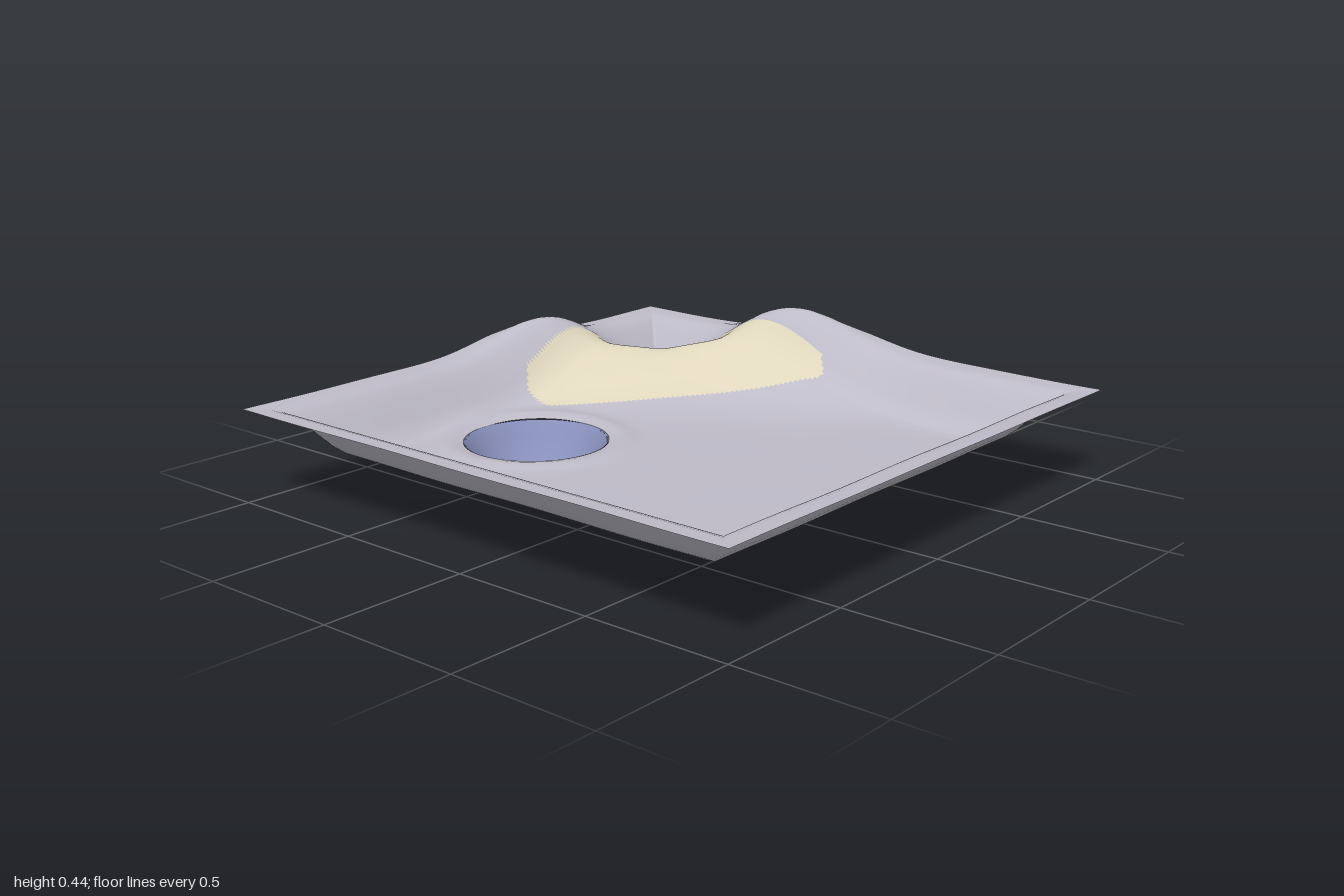
import * as THREE from 'three';

const N = 160, STEP = 2 / N;
const BOWL = { x: -0.22, z: -0.45, r: 0.245 };

const ground = new THREE.MeshStandardMaterial({ name: 'greyLavender', color: 0xbebbc8, side: THREE.DoubleSide });
const sand = new THREE.MeshStandardMaterial({ name: 'paleSand', color: 0xdfd6bd, side: THREE.DoubleSide });
const blue = new THREE.MeshStandardMaterial({ name: 'dustyBlue', color: 0x878eb9, side: THREE.DoubleSide });

// Piecewise linear lookup
function profile(points, t) {
  if (t <= points[0][0]) return points[0][1];
  for (let i = 1; i < points.length; i++) {
    const [t0, v0] = points[i - 1], [t1, v1] = points[i];
    if (t <= t1) return v0 + (v1 - v0) * (t - t0) / (t1 - t0);
  }
  return points[points.length - 1][1];
}

// Tray wall from floor to rim, and ridge strength, by distance from the middle
const WALL = [[0.7, 0.138], [0.74, 0.142], [0.77, 0.156], [0.8, 0.183], [0.83, 0.22], [0.86, 0.257],
  [0.89, 0.289], [0.91, 0.304], [0.935, 0.312], [1, 0.316]];
const RIDGE = [[0.5, 0.128], [0.6, 0.138], [0.7, 0.158], [0.77, 0.17], [0.82, 0.167], [0.87, 0.14],
  [0.91, 0.11], [0.95, 0.082], [1, 0.052]];

function height(x, z) {
  const m = Math.max(Math.abs(x), Math.abs(z));
  let y = profile(WALL, m);
  // Diagonal ridge across the back corner: broad foot inside, steeper to the corner pocket
  const dx = 0.63, dz = 0.72, len = Math.hypot(dx, dz);
  const across = ((x - 0.27) * dz - (z + 0.9) * dx) / len;
  const along = THREE.MathUtils.clamp(((x - 0.27) * dx + (z + 0.9) * dz) / (len * len), 0, 1);
  const inside = 1 - THREE.MathUtils.smoothstep(m, 0.7, 0.92);
  const spread = 0.125 + inside * (across < 0 ? 0.02 + 0.05 * along : -0.01);
  y += profile(RIDGE, m) * (0.97 + 0.27 * along) * Math.exp(-0.5 * (across / spread) ** 2);
  // Low lip around the bowl, faint unevenness elsewhere
  const r = Math.hypot(x - BOWL.x, z - BOWL.z);
  y += 0.012 * Math.exp(-0.5 * ((r - 0.295) / 0.03) ** 2);
  return y + 0.0015 * Math.sin(9 * x + 2) * Math.sin(8 * z + 1);
}

// Sloping patch outline: a diagonal band with clipped ends
const inPatch = (x, z) =>
  x > 0.07 && x < 0.81 && z > -0.82 && z < 0.02 && x - z > 0.744 && x - z < 1.3 &&
  x + z < 0.795 && x + z > -0.71;

function sheetParts() {
  const pos = [], basin = [], patch = [];
  for (let j = 0; j <= N; j++) {
    for (let i = 0; i <= N; i++) {
      let x = -1 + i * STEP, z = -1 + j * STEP;
      // Pull vertices near the bowl onto its round edge
      const r = Math.hypot(x - BOWL.x, z - BOWL.z);
      if (Math.abs(r - BOWL.r) < STEP * 0.6) {
        x = BOWL.x + (x - BOWL.x) * BOWL.r / r;
        z = BOWL.z + (z - BOWL.z) * BOWL.r / r;
      }
      pos.push(x, height(x, z), z);
    }
  }
  const addTriangle = (a, b, c) => {
    const x = (pos[a * 3] + pos[b * 3] + pos[c * 3]) / 3;
    const z = (pos[a * 3 + 2] + pos[b * 3 + 2] + pos[c * 3 + 2]) / 3;
    if (Math.hypot(x - BOWL.x, z - BOWL.z) < BOWL.r - 0.001) return;
    (inPatch(x, z) ? patch : basin).push(a, b, c);
  };
  for (let j = 0; j < N; j++) {
    for (let i = 0; i < N; i++) {
      const a = j * (N + 1) + i, b = a + 1, c = a + N + 1, d = c + 1;
      const x = -1 + (i + 0.5) * STEP, z = -1 + (j + 0.5) * STEP;
      // Diagonals follow the tray's corner creases
      if (x * z < 0 && Math.abs(x) + Math.abs(z) > 1.4) {
        addTriangle(a, c, b);
        addTriangle(b, c, d);
      } else {
        addTriangle(a, c, d);
        addTriangle(a, d, b);
      }
    }
  }
  // Shared normals keep the shading smooth across the colour border
  const whole = new THREE.BufferGeometry();
  whole.setAttribute('position', new THREE.Float32BufferAttribute(pos, 3));
  whole.setIndex([...basin, ...patch]);
  whole.computeVertexNormals();
  return [basin, patch].map((index) => whole.clone().setIndex(index));
}

export function createModel() {
  const group = new THREE.Group();
  group.name = 'terrainTray';
  const add = (name, geometry, material) => {
    const mesh = new THREE.Mesh(geometry, material);
    mesh.name = name;
    group.add(mesh);
    return mesh;
  };

  const [basinGeometry, patchGeometry] = sheetParts();
  add('basin', basinGeometry, ground);
  add('ridgePatch', patchGeometry, sand);

  // Round bowl sunk below the floor
  const bowlProfile = [[0, 0], [0.07, 0.001], [0.1, 0.004], [0.125, 0.014], [0.15, 0.031], [0.18, 0.058],
    [0.205, 0.09], [0.225, 0.119], [BOWL.r, 0.142]].map(([r, y]) => new THREE.Vector2(r, y));
  add('bowl', new THREE.LatheGeometry(bowlProfile, 64), blue).position.set(BOWL.x, 0, BOWL.z);

  return group;
}
